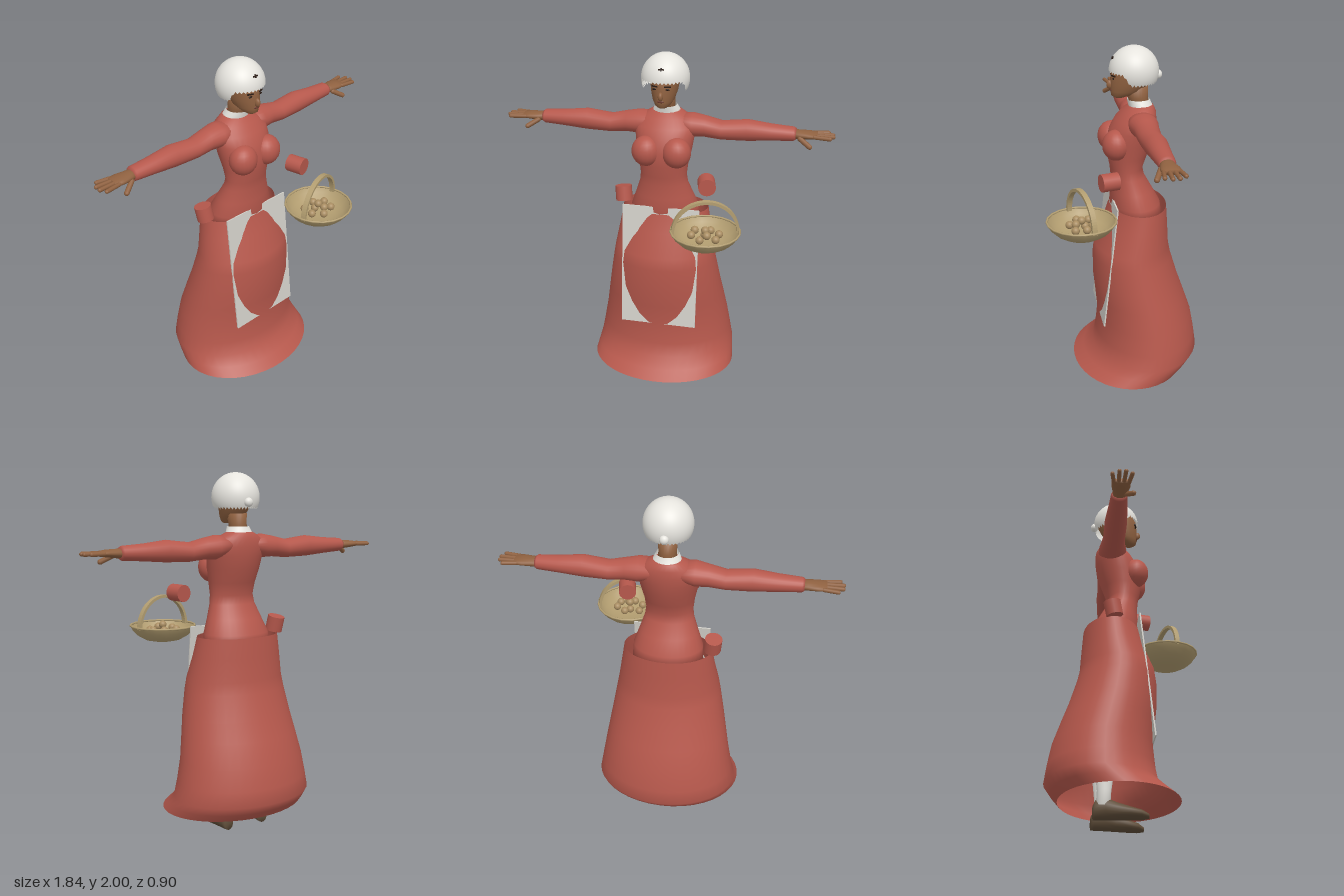
import * as THREE from 'three';

const mat = (name, color, side = THREE.FrontSide) => {
  const m = new THREE.MeshStandardMaterial({ color, side });
  m.name = name;
  return m;
};

// Elliptical rings stacked along y: [y, halfWidth, zFront, zBack, centreX]
function loft(sections, n = 24, capped = true) {
  const pos = [], idx = [];
  for (const [y, rx, zf, zb, cx = 0] of sections) {
    for (let j = 0; j < n; j++) {
      const a = (j / n) * Math.PI * 2;
      pos.push(cx + rx * Math.cos(a), y, (zf + zb) / 2 + ((zf - zb) / 2) * Math.sin(a));
    }
  }
  const rows = sections.length;
  for (let i = 0; i < rows - 1; i++) {
    for (let j = 0; j < n; j++) {
      const k = (j + 1) % n, a = i * n + j, b = i * n + k;
      idx.push(a, a + n, b, b, a + n, b + n);
    }
  }
  if (capped) {
    [0, rows - 1].forEach((r, e) => {
      const [y, , zf, zb, cx = 0] = sections[r];
      const c = pos.length / 3;
      pos.push(cx, y, (zf + zb) / 2);
      for (let j = 0; j < n; j++) {
        const a = r * n + j, b = r * n + (j + 1) % n;
        if (e) idx.push(c, b, a); else idx.push(c, a, b);
      }
    });
  }
  const g = new THREE.BufferGeometry();
  g.setAttribute('position', new THREE.Float32BufferAttribute(pos, 3));
  g.setIndex(idx);
  g.computeVertexNormals();
  return g;
}

// Reflected copy across x = 0 with the winding put right
function mirror(geo) {
  const g = geo.clone().scale(-1, 1, 1), ix = g.index.array;
  for (let i = 0; i < ix.length; i += 3) [ix[i], ix[i + 1]] = [ix[i + 1], ix[i]];
  return g;
}

const ball = (x, y, z, rx, ry, rz) => new THREE.SphereGeometry(1, 20, 14).scale(rx, ry, rz).translate(x, y, z);

// Rounded rod between two points
function rod(a, b, r) {
  const p = new THREE.Vector3(...a), q = new THREE.Vector3(...b), d = q.clone().sub(p);
  const g = new THREE.CapsuleGeometry(r, d.length(), 4, 10);
  g.applyQuaternion(new THREE.Quaternion().setFromUnitVectors(new THREE.Vector3(0, 1, 0), d.normalize()));
  const c = p.add(q).multiplyScalar(0.5);
  return g.translate(c.x, c.y, c.z);
}

export function createModel() {
  const group = new THREE.Group();
  const red = mat('red cloth', 0xb6584c);
  const skirtRed = mat('red skirt cloth', 0xb6584c, THREE.DoubleSide);
  const white = mat('white linen', 0xe6e4de, THREE.DoubleSide);
  const apronGrey = mat('apron linen', 0xd2d0c9);
  const skin = mat('skin', 0x8f6140);
  const leather = mat('shoe leather', 0x5f4d39);
  const wicker = mat('wicker', 0xb29d70, THREE.DoubleSide);
  const egg = mat('egg', 0xa98d62);
  const dark = mat('dark detail', 0x2a1c15);
  const lip = mat('lips', 0x6e3d30);

  const add = (name, geo, material) => {
    const m = new THREE.Mesh(geo, material);
    m.name = name;
    group.add(m);
    return m;
  };
  const pair = (name, geo, material) => {
    add(name + 'Left', geo, material);
    add(name + 'Right', mirror(geo), material);
  };

  // Open skirt, bulging at the back and flaring at the front hem
  const skirt = [
    [0.12, 0.425, 0.285, -0.375], [0.165, 0.417, 0.225, -0.415], [0.215, 0.408, 0.165, -0.45],
    [0.3, 0.392, 0.148, -0.438], [0.42, 0.37, 0.136, -0.415], [0.55, 0.347, 0.148, -0.37],
    [0.66, 0.327, 0.16, -0.33], [0.8, 0.302, 0.16, -0.287], [0.87, 0.289, 0.15, -0.272],
    [1.0, 0.265, 0.095, -0.264], [1.11, 0.246, 0.063, -0.256],
  ];
  add('skirt', loft(skirt, 40, false), skirtRed);

  // Flat leaning apron that the skirt bulges through
  add('apron', new THREE.BoxGeometry(0.44, 0.725, 0.008).rotateX(-0.11).translate(0, 0.79, 0.091), apronGrey);

  // Bodice
  add('bodice', loft([
    [1.04, 0.2, 0.045, -0.235], [1.12, 0.195, 0.062, -0.22], [1.2, 0.165, 0.055, -0.175],
    [1.28, 0.137, 0.055, -0.13], [1.33, 0.13, 0.06, -0.12], [1.4, 0.138, 0.075, -0.145],
    [1.48, 0.155, 0.08, -0.175], [1.55, 0.165, 0.06, -0.19], [1.6, 0.17, 0.028, -0.195],
    [1.645, 0.14, -0.01, -0.193], [1.675, 0.085, -0.045, -0.18], [1.685, 0.06, -0.06, -0.165],
  ], 32), red);
  pair('bust', ball(0.085, 1.48, 0.04, 0.08, 0.085, 0.075), red);

  // Sleeves, lofted along x
  pair('sleeve', loft([
    [0.08, 0.05, -0.02, -0.18, -1.61], [0.15, 0.066, -0.02, -0.18, -1.6], [0.22, 0.058, -0.035, -0.17, -1.595],
    [0.31, 0.052, -0.04, -0.165, -1.58], [0.45, 0.059, -0.04, -0.165, -1.59], [0.58, 0.046, -0.05, -0.155, -1.588],
    [0.7, 0.038, -0.058, -0.147, -1.588], [0.712, 0.03, -0.065, -0.14, -1.588],
  ]).rotateZ(-Math.PI / 2), red);

  // Hands
  pair('palm', loft([
    [0.68, 0.026, -0.07, -0.135, -1.588], [0.73, 0.024, -0.06, -0.14, -1.588],
    [0.78, 0.02, -0.05, -0.15, -1.59], [0.825, 0.014, -0.052, -0.15, -1.59],
  ], 16).rotateZ(-Math.PI / 2), skin);
  [0.895, 0.912, 0.91, 0.885].forEach((tip, i) => {
    const z = -0.061 - i * 0.026;
    pair('finger' + (i + 1), rod([0.81, 1.59, z], [tip - 0.003, 1.59, z + (1.5 - i) * 0.008], 0.011), skin);
  });
  pair('thumb', rod([0.735, 1.575, -0.065], [0.79, 1.543, -0.035], 0.014), skin);

  // Neck, collar and head
  add('neck', loft([[1.65, 0.052, -0.06, -0.16], [1.72, 0.048, -0.04, -0.15], [1.78, 0.052, -0.02, -0.15]]), skin);
  add('collar', loft([[1.668, 0.08, -0.045, -0.18], [1.69, 0.07, -0.04, -0.168], [1.71, 0.06, -0.035, -0.16]], 24, false), white);
  add('head', loft([
    [1.724, 0.024, 0.035, -0.02], [1.735, 0.04, 0.05, -0.06], [1.76, 0.058, 0.055, -0.12],
    [1.8, 0.07, 0.057, -0.16], [1.84, 0.076, 0.055, -0.18], [1.88, 0.078, 0.05, -0.185],
    [1.93, 0.07, 0.025, -0.165], [1.965, 0.03, -0.02, -0.11],
  ], 28), skin);
  add('nose', ball(0, 1.795, 0.057, 0.014, 0.024, 0.02), skin);
  pair('eye', ball(0.033, 1.832, 0.044, 0.015, 0.005, 0.004), dark);
  pair('brow', new THREE.BoxGeometry(0.036, 0.006, 0.008).rotateY(0.3).translate(0.034, 1.847, 0.044), dark);
  add('mouth', ball(0, 1.766, 0.054, 0.02, 0.006, 0.004), lip);

  // Cap: a dome cut higher over the face than around the back
  const cap = new THREE.SphereGeometry(1, 40, 20), cp = cap.attributes.position, uv = cap.attributes.uv;
  for (let i = 0; i < cp.count; i++) {
    const phi = uv.getX(i) * Math.PI * 2, s = Math.sin(phi);
    const t = (i < 41 ? 0 : 1 - uv.getY(i)) * THREE.MathUtils.lerp(2.06, 1.6, THREE.MathUtils.smoothstep(s, 0.25, 0.6));
    const d = [-Math.cos(phi) * Math.sin(t), Math.cos(t), s * Math.sin(t)];
    cp.setXYZ(i, ...d);
    cap.attributes.normal.setXYZ(i, ...d);
  }
  add('cap', cap.scale(0.132, 0.135, 0.135).translate(0, 1.865, -0.072), white);
  add('capKnot', ball(0, 1.84, -0.205, 0.025, 0.025, 0.022), white);
  add('capPinAcross', new THREE.BoxGeometry(0.032, 0.006, 0.008).translate(0, 1.937, 0.042), dark);
  add('capPinUpright', new THREE.BoxGeometry(0.008, 0.018, 0.008).rotateX(-0.55).translate(0, 1.937, 0.042), dark);

  // Stockinged legs and shoes
  pair('leg', loft([
    [0.07, 0.035, -0.1, -0.175, 0.132], [0.15, 0.036, -0.095, -0.17, 0.13], [0.33, 0.055, -0.07, -0.19, 0.125],
    [0.52, 0.055, -0.04, -0.16, 0.115], [0.8, 0.085, -0.01, -0.18, 0.1], [1.06, 0.095, 0.02, -0.21, 0.095],
  ], 20), white);
  pair('shoe', loft([
    [-0.1, 0.03, 0, -0.075], [-0.085, 0.042, 0, -0.105], [-0.03, 0.047, 0, -0.115], [0.03, 0.047, 0, -0.09],
    [0.1, 0.058, 0, -0.066], [0.155, 0.052, 0, -0.05], [0.19, 0.02, -0.005, -0.03],
  ], 20).rotateX(Math.PI / 2).rotateY(0.13).translate(0.126, 0, -0.09), leather);

  // Loose cuffs
  add('cuffFront', new THREE.CylinderGeometry(0.048, 0.048, 0.095, 20).rotateX(Math.PI / 2).rotateY(0.22)
    .translate(0.265, 1.338, 0.105), red);
  add('cuffSide', new THREE.CylinderGeometry(0.048, 0.048, 0.085, 20).rotateX(-0.2).rotateZ(0.1)
    .translate(-0.252, 1.153, -0.1), red);

  // Basket of eggs
  const basket = new THREE.Group();
  basket.name = 'basket';
  basket.position.set(0.288, 1.045, 0.26);
  basket.rotation.y = 0.27;
  group.add(basket);
  const put = (name, geo, material) => {
    const m = new THREE.Mesh(geo, material);
    m.name = name;
    basket.add(m);
  };
  const profile = [[0, 0], [0.06, 0.002], [0.105, 0.012], [0.145, 0.035], [0.172, 0.062], [0.188, 0.092]];
  put('bowl', new THREE.LatheGeometry(profile.map(p => new THREE.Vector2(...p)), 20), wicker);
  put('rim', new THREE.TorusGeometry(0.186, 0.006, 8, 20).rotateX(Math.PI / 2).translate(0, 0.092, 0), wicker);
  const arch = new THREE.Shape();
  arch.absellipse(0, 0, 0.184, 0.184, 0, Math.PI, false);
  arch.absellipse(0, 0, 0.168, 0.168, Math.PI, 0, true);
  put('handle', new THREE.ExtrudeGeometry(arch, { depth: 0.028, bevelEnabled: false, curveSegments: 20 })
    .translate(0, 0.083, -0.014), wicker);
  [[0, 0, 0.095], [-0.05, -0.06, 0.07], [0.035, -0.05, 0.07], [-0.075, 0, 0.07], [0.075, 0, 0.07],
    [-0.035, 0.055, 0.065], [0.05, 0.055, 0.065], [0.005, 0.035, 0.08], [0, -0.02, 0.06]].forEach(([x, z, y], i) =>
    put('egg' + (i + 1), ball(x, y, z, 0.022, 0.022, 0.022), egg));

  return group;
}
